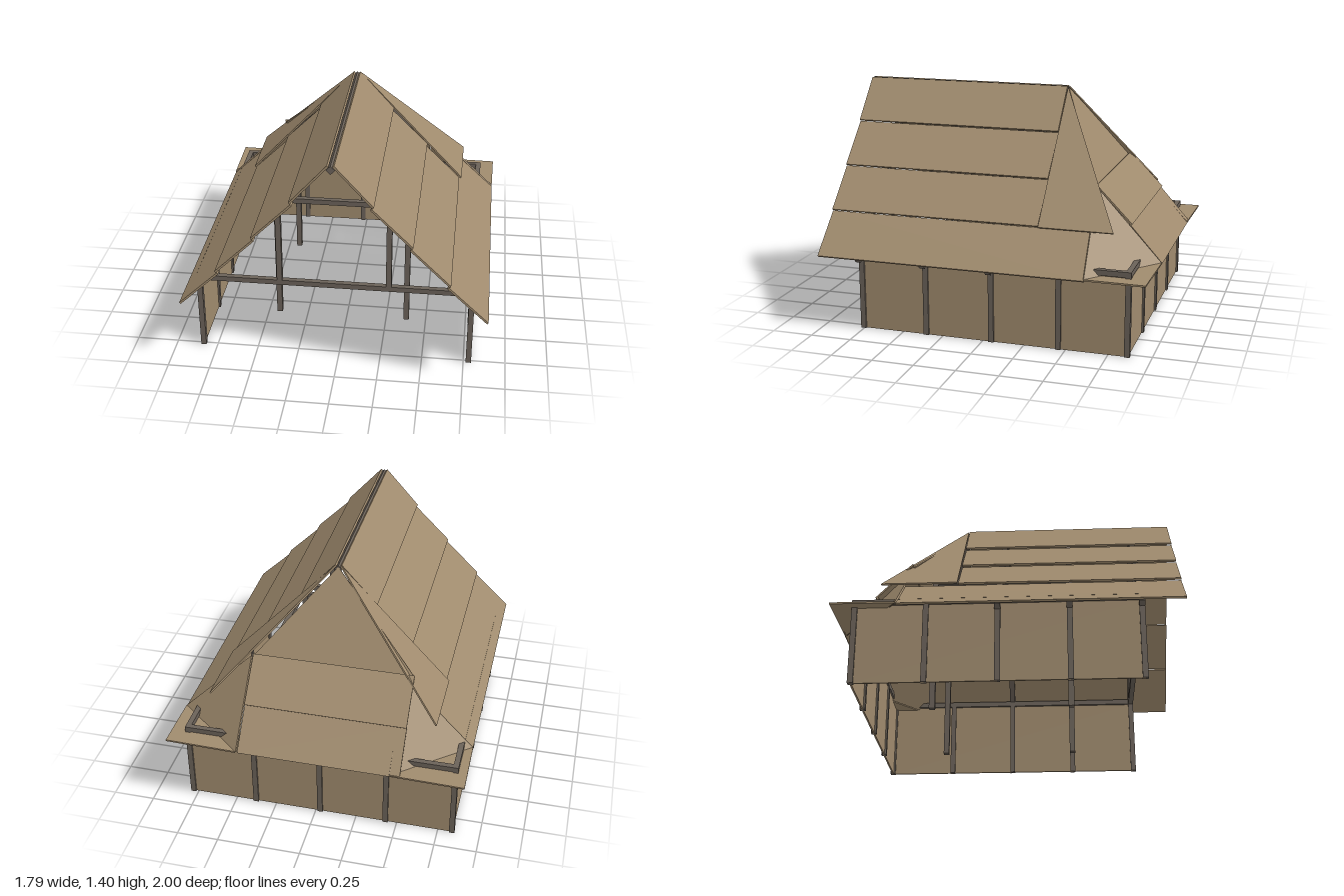
import * as THREE from 'three';

export function createModel() {
  const model = new THREE.Group();
  const plank = new THREE.MeshStandardMaterial({ color: 0xa08b6e });
  plank.name = 'plank';
  const timber = new THREE.MeshStandardMaterial({ color: 0x6b6259 });
  timber.name = 'timber';
  const V = (p) => new THREE.Vector3(...p);

  // Square timber running from a to b
  function beam(name, a, b, w = 0.032, roll = 0) {
    const start = V(a), end = V(b);
    const m = new THREE.Mesh(new THREE.BoxGeometry(w, w, start.distanceTo(end)), timber);
    m.position.copy(start).lerp(end, 0.5);
    m.lookAt(end);
    m.rotateZ(roll);
    m.name = name;
    model.add(m);
  }

  // Flat upward-facing board: a convex outline thickened downwards
  function plate(name, corners, t = 0.01) {
    let top = corners.map(V);
    const normalOf = (p) => p[1].clone().sub(p[0]).cross(p[2].clone().sub(p[0])).normalize();
    if (normalOf(top).y < 0) top.reverse();
    const n = normalOf(top);
    const low = top.map((p) => p.clone().addScaledVector(n, -t));
    const tri = [];
    const k = top.length;
    for (let i = 1; i < k - 1; i++) {
      tri.push(top[0], top[i], top[i + 1], low[0], low[i + 1], low[i]);
    }
    for (let i = 0; i < k; i++) {
      const j = (i + 1) % k;
      tri.push(top[i], low[i], low[j], top[i], low[j], top[j]);
    }
    const g = new THREE.BufferGeometry().setFromPoints(tri);
    g.computeVertexNormals();
    const m = new THREE.Mesh(g, plank);
    m.name = name;
    model.add(m);
  }

  function box(name, sx, sy, sz, x, y, z) {
    const m = new THREE.Mesh(new THREE.BoxGeometry(sx, sy, sz), plank);
    m.position.set(x, y, z);
    m.name = name;
    model.add(m);
  }

  // Post grid: five rows along each side and along the back
  const step = 0.404;
  const gx = [0, 1, 2, 3, 4].map((i) => -0.835 + i * step);
  const gz = [0, 1, 2, 3, 4].map((i) => 0.755 - i * step);
  const [xR, xL, zF, zB] = [gx[0], gx[4], gz[0], gz[4]];
  const plateY = 0.488;

  // Walls, open at the front
  const depth = zF - zB;
  for (const x of [xR, xL]) box('sideWall', 0.01, 0.47, depth, x, 0.235, (zF + zB) / 2);
  box('backWall', xL - xR, 0.47, 0.01, (xL + xR) / 2, 0.235, zB);

  // Wall posts and the beams on top of them
  for (const z of gz) for (const x of [xR, xL]) beam('wallPost', [x, 0, z], [x, 0.475, z]);
  for (const x of gx.slice(1, 4)) beam('backPost', [x, 0, zB], [x, 0.475, zB]);
  for (const x of [xR, xL]) beam('wallPlate', [x, plateY, zF + 0.016], [x, plateY, zB - 0.016]);
  for (const z of [zF, zB]) beam('tieBeam', [xR, plateY, z], [xL, plateY, z]);

  // Inner frame: four tall posts carrying a ring of beams
  for (const x of [gx[1], gx[3]]) {
    for (const z of [gz[1], gz[3]]) beam('innerPost', [x, 0, z], [x, 0.81, z], 0.034);
    beam('innerBeam', [x, 0.815, gz[1] + 0.016], [x, 0.815, gz[3] - 0.016]);
  }
  for (const z of [gz[1], gz[3]]) beam('innerBeam', [gx[1], 0.815, z], [gx[3], 0.815, z]);

  // Roof, mirrored about its ridge line
  const C = -0.01;
  const zHip = -0.3;
  const rowX = [0.02, 0.235, 0.455, 0.67, 0.89];
  const rowY = [1.4, 1.16, 0.92, 0.687, 0.457];
  const boardX = 0.485;
  for (const s of [-1, 1]) {
    const X = (d) => C + s * d;
    // Overlapping rows of boards on the long slope
    for (let i = 0; i < 4; i++) {
      const end = i === 3 ? -0.625 : zHip + 0.005;
      const tuck = i ? 0.022 : 0;
      const xu = X(rowX[i] - tuck / 2), yu = rowY[i] - tuck / 2;
      const xl = X(rowX[i + 1]), yl = rowY[i + 1];
      plate('roofBoard', [[xu, yu, 1], [xl, yl, 1], [xl, yl, end], [xu, yu, end]], 0.012);
    }
    // Tapered end of the long slope
    plate('hipEnd', [[X(0.02), 1.397, zHip], [X(0.685), 0.685, zHip], [X(0.685), 0.685, -0.745]]);
    // Sloping corner and the level eave under it
    const inner = X(boardX - 0.025);
    const cornerZ = s < 0 ? -0.995 : -0.975;
    plate('cornerSlope', [[inner, 0.89, -0.595], [inner, 0.465, -0.985], [X(0.89), 0.465, -0.625]]);
    plate('cornerEave', [[inner, 0.467, -0.985], [X(0.89), 0.467, -0.625], [X(0.895), 0.467, cornerZ]]);
    // Rafters
    for (const z of gz.slice(0, 3)) {
      beam('rafter', [X(0.86), 0.437, z], [X(-0.012), 1.357, z], 0.034);
    }
    beam('hipRafter', [X(boardX - 0.05), 0.84, -0.56], [X(0), 1.33, zHip]);
    beam('gablePost', [C - 0.018 + s * 0.322, plateY, zF], [C - 0.018 + s * 0.322, 0.99, zF]);
  }

  // Back slope: upper triangle and two lower boards
  const [bl, br] = [C - boardX - 0.035, C + boardX - 0.035];
  plate('backGable', [[C, 1.39, zHip], [bl, 0.885, -0.585], [br, 0.885, -0.585]]);
  plate('backBoard', [[bl, 0.9, -0.59], [br, 0.9, -0.59], [br, 0.68, -0.805], [bl, 0.68, -0.805]]);
  plate('backBoard', [[bl, 0.68, -0.79], [br, 0.68, -0.79], [br, 0.46, -0.987], [bl, 0.46, -0.987]]);

  // Ridge pole, set on edge
  beam('ridgePole', [C, 1.373, 1], [C, 1.373, zHip], 0.036, Math.PI / 4);

  return model;
}
